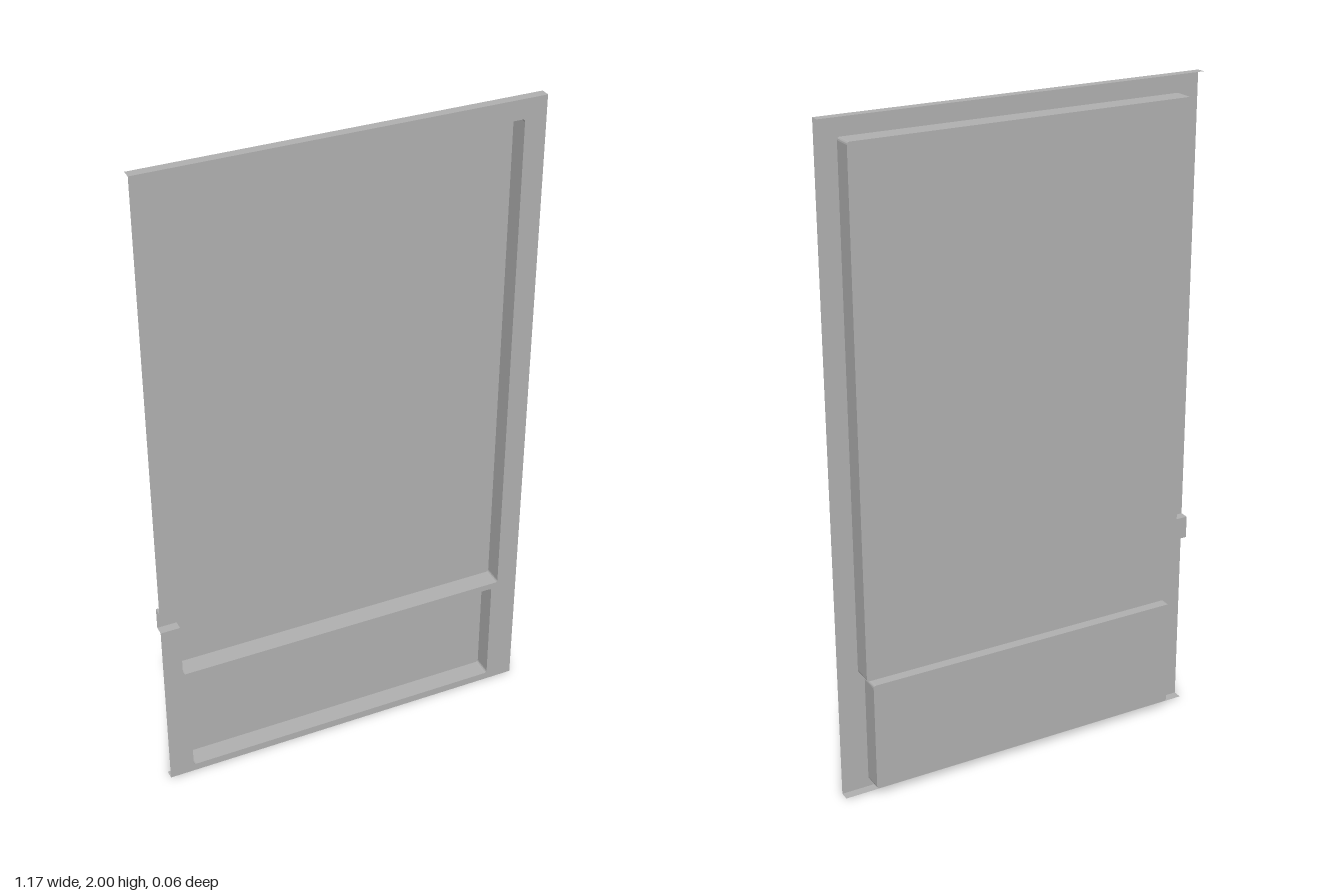
import * as THREE from 'three';

const W = 0.583, H = 2, FRONT = 0.03, MID = 0.002, BACK = -0.03;
const NOTCH_LOW = 0.566, NOTCH_HIGH = 0.635;

// Clockwise rounded outline, starting and ending on the left side between startY and endY
function pocketOutline(x0, x1, y0, y1, startY, endY, r = 0.008) {
  const pts = [new THREE.Vector2(x0, startY)];
  const corners = [[x0 + r, y1 - r], [x1 - r, y1 - r], [x1 - r, y0 + r], [x0 + r, y0 + r]];
  corners.forEach(([cx, cy], i) => {
    for (let k = 0; k <= 3; k++) {
      const a = Math.PI - (i + k / 3) * Math.PI / 2;
      pts.push(new THREE.Vector2(cx + r * Math.cos(a), cy + r * Math.sin(a)));
    }
  });
  pts.push(new THREE.Vector2(x0, endY));
  return pts;
}

// Ribbon that follows an outline from depth z0 to z1
function ribbon(pts, z0, z1) {
  const pos = [];
  for (let i = 0; i < pts.length - 1; i++) {
    const a = pts[i], b = pts[i + 1];
    pos.push(a.x, a.y, z0, b.x, b.y, z0, b.x, b.y, z1);
    pos.push(a.x, a.y, z0, b.x, b.y, z1, a.x, a.y, z1);
  }
  const g = new THREE.BufferGeometry();
  g.setAttribute('position', new THREE.Float32BufferAttribute(pos, 3));
  g.computeVertexNormals();
  return g;
}

export function createModel() {
  const group = new THREE.Group();
  const metal = new THREE.MeshStandardMaterial({ color: 0xb0b0b0, side: THREE.DoubleSide });
  metal.name = 'grey sheet metal';
  const add = (name, geometry, z = 0) => {
    const mesh = new THREE.Mesh(geometry, metal);
    mesh.name = name;
    mesh.position.z = z;
    group.add(mesh);
  };
  const v = (x, y) => new THREE.Vector2(x, y);

  const left = -0.524;
  const upper = pocketOutline(left, 0.518, 0.388, 1.942, NOTCH_HIGH, NOTCH_LOW);
  const lower = pocketOutline(-0.508, 0.498, 0.024, 0.368, 0.2, 0.2);

  // Front sheet, open at both pockets and at the side notch
  const sheet = new THREE.Shape([
    v(-W, 0), v(W, 0), v(W, H), v(-W, H), v(-W, NOTCH_HIGH), ...upper, v(-W, NOTCH_LOW),
  ]);
  sheet.holes.push(new THREE.Path(lower));
  add('frontSheet', new THREE.ShapeGeometry(sheet), FRONT);

  // Upper pocket: its front half is interrupted by the notch
  add('upperPocketFrontWall', ribbon(upper, FRONT, MID));
  add('upperPocketBackWall', ribbon([...upper, upper[0]], MID, BACK));
  add('upperPocketFloor', new THREE.ShapeGeometry(new THREE.Shape(upper)), BACK);

  // Lower pocket
  add('lowerPocketWall', ribbon(lower, FRONT, BACK));
  add('lowerPocketFloor', new THREE.ShapeGeometry(new THREE.Shape(lower)), BACK);

  // Side notch channel
  add('notchFloor', new THREE.ShapeGeometry(new THREE.Shape([
    v(-W, NOTCH_LOW), v(left, NOTCH_LOW), v(left, NOTCH_HIGH), v(-W, NOTCH_HIGH),
  ])), MID);
  add('notchLowerWall', ribbon([v(-W, NOTCH_LOW), v(left, NOTCH_LOW)], MID, FRONT));
  add('notchUpperWall', ribbon([v(-W, NOTCH_HIGH), v(left, NOTCH_HIGH)], FRONT, MID));

  // Folded lips along the top and bottom edges
  add('topLip', ribbon([v(-W, H), v(W, H)], FRONT, MID));
  add('bottomLip', ribbon([v(W, 0), v(-W, 0)], FRONT, MID));

  return group;
}
